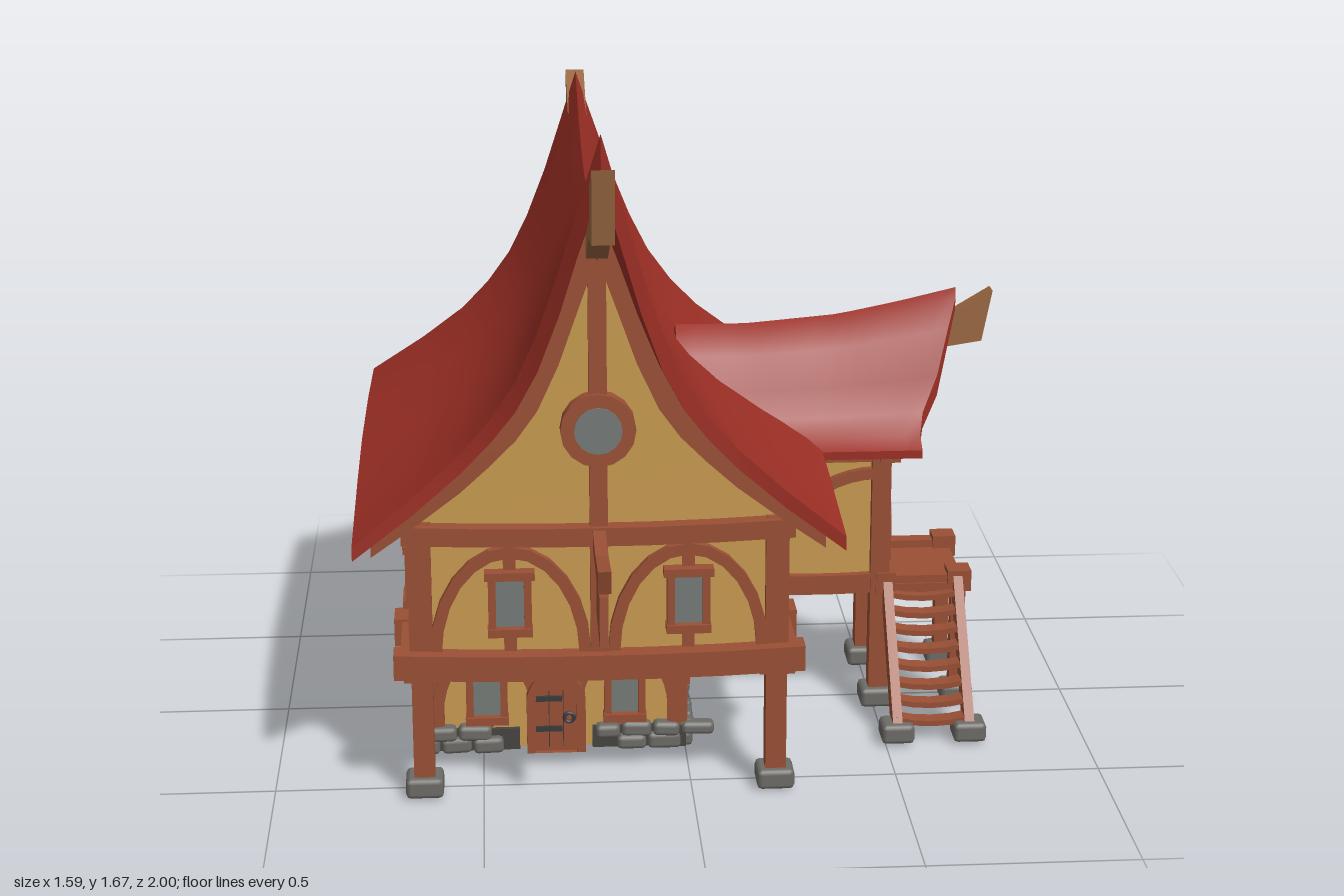
import * as THREE from 'three';
import { toCreasedNormals } from 'three/addons/utils/BufferGeometryUtils.js';
import { RoundedBoxGeometry } from 'three/addons/geometries/RoundedBoxGeometry.js';

const mat = (name, color) => Object.assign(new THREE.MeshStandardMaterial({ color }), { name });
const RED = mat('roof red', 0x9c2f25), WOOD = mat('timber', 0x9a5035), PLASTER = mat('plaster', 0xc89a50);
const END = mat('ridge timber', 0x9a6842), STONE = mat('stone', 0x6c6b67), DARK = mat('mortar', 0x45443f);
const GLASS = mat('glass', 0x757b78), IRON = mat('iron', 0x3a3a3c);

let seed = 7;
const rnd = () => (seed = (seed * 16807) % 2147483647) / 2147483647;

function add(g, name, geo, m, x = 0, y = 0, z = 0) {
  const mesh = new THREE.Mesh(geo, m);
  mesh.name = name;
  mesh.position.set(x, y, z);
  g.add(mesh);
  return mesh;
}
const box = (g, name, m, w, h, d, x, y, z) => add(g, name, new THREE.BoxGeometry(w, h, d), m, x, y, z);

// Group whose local z points out of a wall
function facade(root, name, x, z, rot) {
  const g = new THREE.Group();
  g.name = name;
  g.position.set(x, 0, z);
  g.rotation.y = rot;
  root.add(g);
  return g;
}

// Flat piece between two rows of points
function strip(g, name, m, top, bottom, depth, z = 0) {
  const shape = new THREE.Shape([...top, ...bottom.slice().reverse()].map(p => new THREE.Vector2(p[0], p[1])));
  return add(g, name, new THREE.ExtrudeGeometry(shape, { depth, bevelEnabled: false }), m, 0, 0, z);
}
function beam(g, name, x0, y0, x1, y1, w = 0.03, d = 0.025, z = 0.01) {
  const b = box(g, name, WOOD, Math.hypot(x1 - x0, y1 - y0), w, d, (x0 + x1) / 2, (y0 + y1) / 2, z);
  b.rotation.z = Math.atan2(y1 - y0, x1 - x0);
}
// Horizontal timber that sags in the middle
function band(g, w, y, h, d = 0.05, u = 0, sag = 0.012) {
  const xs = [-1, -0.6, -0.25, 0.25, 0.6, 1];
  const row = o => xs.map(t => [u + t * w / 2, y + o - sag * (1 - t * t)]);
  strip(g, 'bandBeam', WOOD, row(h / 2), row(-h / 2), d, -0.01);
}
function arch(g, u, y, rx, ry, a0 = 0, a1 = Math.PI) {
  const arc = k => Array.from({ length: 13 }, (_, i) => {
    const a = a0 + (a1 - a0) * i / 12;
    return [u + (rx - k) * Math.cos(a), y + (ry - k) * Math.sin(a)];
  });
  strip(g, 'archBrace', WOOD, arc(0), arc(0.028), 0.02);
}
function windowUnit(g, u, y) {
  box(g, 'windowGlass', GLASS, 0.08, 0.13, 0.008, u, y, 0.012);
  for (const s of [-1, 1]) box(g, 'windowStile', WOOD, 0.018, 0.14, 0.035, u + s * 0.042, y, 0.012);
  box(g, 'windowHead', WOOD, 0.118, 0.02, 0.04, u, y + 0.07, 0.014);
  box(g, 'windowSill', WOOD, 0.106, 0.02, 0.045, u, y - 0.07, 0.014);
}
// Arched panel with a window and short studs; upper or ground floor
function panel(g, u, rx, upper, glazed = true) {
  const y0 = upper ? 0.36 : 0.06, top = upper ? 0.64 : 0.31, wy = upper ? 0.49 : 0.155;
  arch(g, u, y0, rx, top - y0 - 0.01);
  box(g, 'stud', WOOD, 0.03, top - wy, 0.02, u, (top + wy) / 2, 0);
  box(g, 'stud', WOOD, 0.03, wy - y0, 0.02, u, (y0 + wy) / 2, 0);
  if (glazed) windowUnit(g, u, wy);
}
function door(g, u, y, w = 0.145, h = 0.21) {
  const outline = k => {
    const r = w / 2 - k, s = new THREE.Shape();
    s.moveTo(-r, 0); s.lineTo(r, 0); s.lineTo(r, h - w / 2);
    s.absarc(0, h - w / 2, r, 0, Math.PI, false);
    return s;
  };
  const frame = outline(0);
  frame.holes.push(outline(0.022));
  add(g, 'doorFrame', new THREE.ExtrudeGeometry(frame, { depth: 0.045, bevelEnabled: false, curveSegments: 8 }), WOOD, u, y, -0.005);
  add(g, 'doorLeaf', new THREE.ExtrudeGeometry(outline(0.018), { depth: 0.03, bevelEnabled: false, curveSegments: 8 }), WOOD, u, y, -0.005);
  for (const v of [0.06, 0.14]) box(g, 'hinge', IRON, 0.065, 0.013, 0.008, u - 0.018, y + v, 0.028);
  add(g, 'doorRing', new THREE.TorusGeometry(0.012, 0.005, 6, 12), IRON, u + 0.032, y + 0.09, 0.03);
  for (const s of [-1, 1]) for (const t of [-0.5, 0.5]) box(g, 'doorGap', IRON, 0.002, h - 0.06, 0.003, u + s * t * 0.035, y + h / 2 - 0.02, 0.026);
}
function post(g, x, z, y0, y1, w = 0.05) {
  box(g, 'post', WOOD, w, y1 - y0, w, x, (y0 + y1) / 2, z);
}
function foot(g, x, z, s = 0.09) {
  add(g, 'footStone', new RoundedBoxGeometry(s, 0.05, s, 1, 0.012), STONE, x, 0.025, z);
}

// Roof rows: distance from ridge, height share, front end, back end
const lut = (t, x) => {
  if (x <= t[0][0]) return t[0][1];
  for (let i = 1; i < t.length; i++) if (x <= t[i][0]) {
    const [a, b] = [t[i - 1], t[i]];
    return a[1] + (b[1] - a[1]) * (x - a[0]) / (b[0] - a[0]);
  }
  return t[t.length - 1][1];
};
const MAIN = {
  t: 0.032,
  rows: [[0, 1, .87, -.92], [.045, .86, .82, -.87], [.09, .71, .77, -.83], [.14, .555, .72, -.81], [.19, .43, .675, -.795],
    [.25, .325, .645, -.785], [.32, .23, .63, -.78], [.43, .12, .64, -.785], [.57, 0, .66, -.79]],
  ridge: [[-.92, 1.47], [-.7, 1.4], [-.52, 1.355], [-.27, 1.33], [0, 1.345], [.25, 1.405], [.5, 1.5], [.87, 1.67]],
  eave: [[-.79, .67], [-.4, .705], [0, .72], [.3, .705], [.66, .67]]
};
const WING = {
  t: 0.02,
  rows: [[0, 1, .71, 0], [.03, .94, .705, 0], [.08, .77, .68, 0], [.12, .47, .65, 0], [.155, .22, .61, 0], [.19, .08, .6, 0], [.235, 0, .6, 0]],
  ridge: [[0, .98], [.18, .98], [.41, 1.0], [.56, 1.03], [.71, 1.065]],
  eave: [[0, .71], [.71, .71]]
};
const roofY = (r, d, z) => {
  const e = lut(r.eave, z);
  return e + (lut(r.ridge, z) - e) * lut(r.rows, Math.abs(d));
};
// Vertical depth of a layer of given thickness on the slope
const drop = (r, d, z, t) => {
  const a = Math.abs(d), s = (roofY(r, a + 0.03, z) - roofY(r, Math.max(a - 0.03, 0), z)) / (a < 0.03 ? a + 0.03 : 0.06);
  return t * Math.hypot(1, s);
};
function roof(g, name, r) {
  const cols = [...r.rows.slice(1).reverse().map(p => [-p[0], p[2], p[3]]), ...r.rows.map(p => [p[0], p[2], p[3]])];
  const n = cols.length, m = 16, pos = [], idx = [];
  for (const layer of [0, 1]) for (const [d, zf, zb] of cols) for (let j = 0; j <= m; j++) {
    const z = zb + (zf - zb) * j / m;
    pos.push(d, roofY(r, d, z) - layer * drop(r, d, z, r.t), z);
  }
  const at = (l, i, j) => (l * n + i) * (m + 1) + j;
  const quad = (a, b, c, d) => idx.push(a, b, c, a, c, d);
  for (let i = 0; i < n - 1; i++) {
    for (let j = 0; j < m; j++) {
      quad(at(0, i, j), at(0, i, j + 1), at(0, i + 1, j + 1), at(0, i + 1, j));
      quad(at(1, i, j), at(1, i + 1, j), at(1, i + 1, j + 1), at(1, i, j + 1));
    }
    quad(at(0, i, m), at(1, i, m), at(1, i + 1, m), at(0, i + 1, m));
    quad(at(0, i, 0), at(0, i + 1, 0), at(1, i + 1, 0), at(1, i, 0));
  }
  for (let j = 0; j < m; j++) {
    quad(at(0, 0, j), at(1, 0, j), at(1, 0, j + 1), at(0, 0, j + 1));
    quad(at(0, n - 1, j), at(0, n - 1, j + 1), at(1, n - 1, j + 1), at(1, n - 1, j));
  }
  const geo = new THREE.BufferGeometry();
  geo.setAttribute('position', new THREE.Float32BufferAttribute(pos, 3));
  geo.setIndex(idx);
  add(g, name, toCreasedNormals(geo, 0.5), RED);
}
// Gable plaster, rake timbers and king post on a facade
function gable(g, r, z, half, reach, base, w) {
  const ds = r.rows.map(p => p[0]).filter(d => d < reach).concat(reach);
  const line = (list, t) => list.map(d => [d, roofY(r, d, z) - drop(r, d, z, t)]);
  const inner = ds.filter(d => d < half).concat(half);
  const all = [...inner.slice(1).reverse().map(d => -d), ...inner];
  strip(g, 'gableWall', PLASTER, line(all, r.t), [[-half, base], [half, base]], 0.03, -0.03);
  for (const s of [-1, 1]) {
    const side = t => line(ds, t).map(p => [s * p[0], p[1]]);
    strip(g, 'rakeBeam', WOOD, side(r.t * 0.9), side(r.t + w), 0.05, -0.01);
  }
  const top = roofY(r, 0, z) - drop(r, 0, z, r.t);
  box(g, 'kingPost', WOOD, 0.042, top - base, 0.03, 0, (top + base) / 2, 0.012);
}

export function createModel() {
  const root = new THREE.Group();
  root.name = 'house';

  // Bodies
  box(root, 'groundWalls', PLASTER, 0.62, 0.33, 0.99, -0.32, 0.167, -0.205);
  box(root, 'upperWalls', PLASTER, 0.86, 0.36, 1.26, -0.22, 0.5, -0.08);
  box(root, 'wingWalls', PLASTER, 0.32, 0.36, 0.28, 0.35, 0.5, -0.08);

  // Roofs and ridge beams
  roof(facade(root, 'mainRoofGroup', -0.22, 0, 0), 'mainRoof', MAIN);
  roof(facade(root, 'wingRoofGroup', 0, -0.08, Math.PI / 2), 'wingRoof', WING);
  const ridge = facade(root, 'mainRidge', -0.195, 0, -Math.PI / 2);
  strip(ridge, 'ridgeBeam', END, [[-1, 1.46], [-.86, 1.40], [-.5, 1.25], [0, 1.22], [.4, 1.33], [.8, 1.53], [1, 1.62]],
    [[-.98, 1.34], [-.86, 1.31], [-.5, 1.15], [0, 1.12], [.4, 1.23], [.78, 1.42], [.97, 1.45]], 0.05);
  strip(root, 'wingRidgeBeam', END, [[.3, .88], [.65, .97], [.8, 1.06]], [[.3, .8], [.645, .91], [.775, .93]], 0.05, -0.105);

  // Upper floor, front and back
  const front = facade(root, 'upperFront', -0.22, 0.55, 0), back = facade(root, 'upperBack', -0.22, -0.71, Math.PI);
  for (const [g, z] of [[front, 0.57], [back, -0.73]]) {
    gable(g, MAIN, z, 0.43, 0.53, 0.66, 0.04);
    band(g, 0.97, 0.345, 0.062, 0.06);
    band(g, 0.92, 0.668, 0.045);
    box(g, 'centrePost', WOOD, 0.042, 0.32, 0.03, 0, 0.5, 0.008);
    for (const s of [-1, 1]) panel(g, s * 0.21, 0.19, true);
  }
  const disc = (r, d, m, name, z) => { add(front, name, new THREE.CylinderGeometry(r, r, d, 16), m, 0, 0.915, z).rotation.x = Math.PI / 2; };
  disc(0.088, 0.05, WOOD, 'roundWindowRing', 0.012);
  disc(0.056, 0.006, GLASS, 'roundWindowGlass', 0.038);

  // Upper floor, long sides
  const right = facade(root, 'upperRight', 0.21, -0.08, Math.PI / 2), left = facade(root, 'upperLeft', -0.65, -0.08, -Math.PI / 2);
  for (const g of [right, left]) {
    band(g, 1.32, 0.338, 0.055, 0.05, 0, 0.003);
    band(g, 1.28, 0.665, 0.045, 0.04, 0, -0.01);
  }
  for (const u of [-0.385, 0.385]) panel(right, u, 0.22, true);
  for (const u of [-0.41, 0, 0.41]) panel(left, u, 0.185, true);
  for (const u of [-0.205, 0.205]) box(left, 'sidePost', WOOD, 0.042, 0.32, 0.03, u, 0.5, 0.008);
  for (const x of [-0.64, 0.2]) for (const z of [0.54, -0.7]) {
    post(root, x, z, 0.33, 0.69, 0.055);
    post(root, x, z, 0.04, 0.33, 0.05);
    box(root, 'jointBlock', WOOD, 0.085, 0.07, 0.085, x, 0.335, z);
    foot(root, x, z);
  }
  for (const x of [0.24, -0.68]) box(root, 'jointBlock', WOOD, 0.06, 0.07, 0.08, x, 0.335, 0.31);

  // Wing
  const wing = facade(root, 'wingFront', 0.51, -0.08, Math.PI / 2);
  gable(wing, WING, 0.53, 0.14, 0.21, 0.67, 0.025);
  band(wing, 0.34, 0.335, 0.055, 0.05, 0, 0);
  band(wing, 0.32, 0.68, 0.035, 0.04, 0, 0);
  door(wing, 0, 0.335);
  for (const s of [-1, 1]) {
    beam(wing, 'brace', s * 0.04, 0.55, s * 0.11, 0.66);
    const side = facade(root, 'wingSide', 0.36, -0.08 + s * 0.14, s > 0 ? 0 : Math.PI);
    band(side, 0.32, 0.335, 0.05, 0.03, 0, 0.005);
    band(side, 0.32, 0.675, 0.035, 0.03, 0, 0);
    arch(side, s * 0.14, 0.36, 0.28, 0.28, s > 0 ? Math.PI / 2 : 0, s > 0 ? Math.PI : Math.PI / 2);
    post(root, 0.51, -0.08 + s * 0.14, 0.04, 0.69, 0.048);
    post(root, 0.215, -0.08 + s * 0.14, 0.33, 0.69, 0.045);
    foot(root, 0.51, -0.08 + s * 0.14);
  }

  // Ground floor
  const gf = facade(root, 'groundFront', -0.32, 0.29, 0), gb = facade(root, 'groundBack', -0.32, -0.7, Math.PI);
  const gr = facade(root, 'groundRight', -0.01, -0.2, Math.PI / 2), gl = facade(root, 'groundLeft', -0.63, -0.2, -Math.PI / 2);
  door(gf, 0, 0);
  door(gr, 0, 0);
  for (const s of [-1, 1]) {
    panel(gf, s * 0.17, 0.14, false);
    panel(gb, s * 0.16, 0.14, false);
    panel(gr, s * 0.24, 0.19, false);
    for (const g of [gf, gr]) beam(g, 'brace', s * 0.03, 0.215, s * 0.1, 0.31);
  }
  for (const u of [-0.33, 0, 0.33]) panel(gl, u, 0.15, false, u !== 0);
  for (const u of [-0.165, 0.165]) box(gl, 'sidePost', WOOD, 0.04, 0.28, 0.03, u, 0.18, 0.005);
  box(gb, 'sidePost', WOOD, 0.04, 0.28, 0.03, 0, 0.18, 0.005);
  for (const x of [-0.62, -0.02]) for (const z of [0.28, -0.69]) post(root, x, z, 0.04, 0.33, 0.05);
  // Joists under the overhangs
  for (const x of [-0.5, -0.22, 0.06]) box(root, 'joist', WOOD, 0.045, 0.04, 0.26, x, 0.31, 0.42);
  for (const z of [0.3, 0.06, -0.22, -0.46]) box(root, 'joist', WOOD, 0.22, 0.04, 0.045, 0.1, 0.31, z);

  // Rubble footing, leaving gaps at the doors
  for (const [g, len, gap] of [[gf, 0.66, 0.09], [gb, 0.66, 0], [gr, 1.02, 0.09], [gl, 1.02, 0]]) {
    for (const s of [-1, 1]) box(g, 'mortar', DARK, len / 2 - gap, 0.055, 0.02, s * (len / 4 + gap / 2), 0.0275, 0.002);
    for (const [y, h] of [[0.018, 0.036], [0.049, 0.032]]) {
      for (let u = -len / 2; u < len / 2 - 0.02;) {
        const w = 0.045 + rnd() * 0.045, c = u + w / 2;
        if (Math.abs(c) > gap + w / 2 - 0.01) {
          const st = add(g, 'rubbleStone', new RoundedBoxGeometry(w - 0.004, h + rnd() * 0.008, 0.045, 1, 0.012), STONE, c, y, 0.006 + rnd() * 0.012);
          st.rotation.z = (rnd() - 0.5) * 0.16;
        }
        u += w;
      }
    }
  }

  // Landing and stairs
  box(root, 'landing', WOOD, 0.21, 0.025, 0.31, 0.625, 0.315, -0.08);
  for (const z of [0.05, -0.21]) {
    box(root, 'landingBeam', WOOD, 0.22, 0.035, 0.04, 0.62, 0.33, z);
    post(root, 0.715, z, 0.04, 0.33, 0.036);
    box(root, 'postCap', WOOD, 0.06, 0.055, 0.06, 0.715, 0.333, z);
    foot(root, 0.715, z, 0.082);
  }
  for (const x of [0.53, 0.71]) {
    const s = box(root, 'stairStringer', WOOD, 0.024, 0.05, 0.39, x, 0.18, 0.185);
    s.rotation.x = Math.atan2(0.3, 0.24);
    foot(root, x, 0.3, 0.082);
  }
  for (let i = 0; i < 8; i++) {
    const t = (i + 0.5) / 8, xs = [-1, -0.5, 0, 0.5, 1];
    const row = o => xs.map(k => [0.62 + k * 0.092, 0.03 + 0.29 * t + o - 0.012 * (1 - k * k)]);
    strip(root, 'stairTread', WOOD, row(0.014), row(0), 0.042, 0.285 - 0.24 * t);
  }

  // Hanging sign board
  const sign = facade(root, 'sign', -0.21, 0, -Math.PI / 2);
  strip(sign, 'signBracket', WOOD, [[.55, .675], [.75, .67], [.91, .69]], [[.55, .63], [.75, .635], [.89, .63]], 0.03, -0.005);
  strip(sign, 'signBoard', WOOD, [[.655, .6], [.845, .605]], [[.66, .495], [.85, .485]], 0.02);
  for (const z of [0.69, 0.81]) box(sign, 'signStrap', IRON, 0.01, 0.06, 0.01, z, 0.62, 0.01);
  return root;
}
